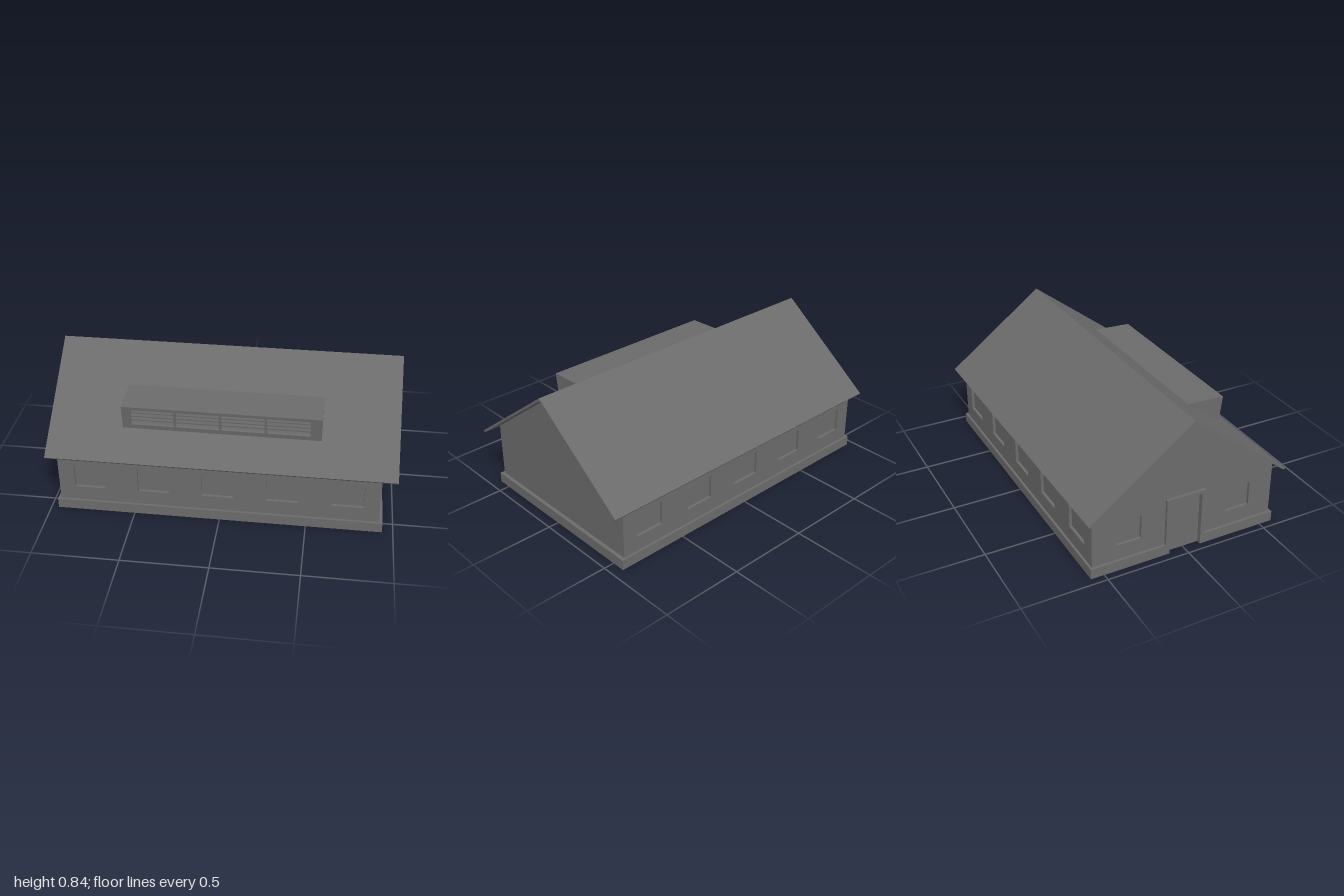
import * as THREE from 'three';

const wall = new THREE.MeshStandardMaterial({ color: 0x6b6b6b });
wall.name = 'grey';

const W = { x0: -0.94, x1: 0.915, z: 0.566, base: 0.05, eave: 0.391, peak: 0.82, t: 0.04 };
const ROOF = { y: 0.836, slope: Math.atan(0.756), length: 0.766, t: 0.0135 };
const WIN = { w: 0.18, y0: 0.153, y1: 0.3 };

function add(parent, name, geometry) {
  const mesh = new THREE.Mesh(geometry, wall);
  mesh.name = name;
  parent.add(mesh);
  return mesh;
}

// box given by its limits on each axis
function box(parent, name, x0, x1, y0, y1, z0, z1) {
  const m = add(parent, name, new THREE.BoxGeometry(x1 - x0, y1 - y0, z1 - z0));
  m.position.set((x0 + x1) / 2, (y0 + y1) / 2, (z0 + z1) / 2);
  return m;
}

// flat panel with rectangular holes [x0, x1, y0, y1], thickness along +z
function panel(points, holes, depth) {
  const shape = new THREE.Shape(points.map(p => new THREE.Vector2(...p)));
  for (const [a, b, c, d] of holes) {
    shape.holes.push(new THREE.Path([[a, c], [a, d], [b, d], [b, c]].map(p => new THREE.Vector2(...p))));
  }
  return new THREE.ExtrudeGeometry(shape, { depth, bevelEnabled: false });
}

const rect = (x0, x1, y0, y1) => [[x0, y0], [x1, y0], [x1, y1], [x0, y1]];

// panel drawn in (z, y), spanning x0..x1
function sidePanel(points, holes, x0, x1) {
  return panel(points, holes, x1 - x0).rotateY(-Math.PI / 2).translate(x1, 0, 0);
}

function buildWalls(group) {
  const centres = [-2, -1, 0, 1, 2].map(i => -0.012 + i * 0.3725);
  const xa = W.x0 + W.t, xb = W.x1 - W.t;
  // long walls, each with five recessed windows
  for (const s of [1, -1]) {
    const holes = centres.map(c => [c - WIN.w / 2, c + WIN.w / 2, WIN.y0, WIN.y1]);
    const m = add(group, s > 0 ? 'frontWall' : 'backWall', panel(rect(xa, xb, W.base, W.eave), holes, W.t));
    m.position.z = s > 0 ? W.z - W.t : -W.z;
    for (const c of centres) {
      const z = s * (W.z - W.t / 2);
      box(group, 'windowPane', c - WIN.w / 2, c + WIN.w / 2, WIN.y0, WIN.y1, z - 0.003, z + 0.003);
    }
  }
  // plain gable
  const top = [[W.z, W.eave], [0, W.peak], [-W.z, W.eave]];
  add(group, 'plainGable', sidePanel([[-W.z, W.base], [W.z, W.base], ...top], [], xb, W.x1));
  // entrance gable with door notch and two windows
  const ends = [-0.345, 0.345];
  const outline = [[-W.z, W.base], [-0.1, W.base], [-0.1, 0.34], [0.1, 0.34], [0.1, W.base], [W.z, W.base], ...top];
  add(group, 'entranceGable', sidePanel(outline, ends.map(c => [c - 0.075, c + 0.075, WIN.y0, WIN.y1]), W.x0, xa));
  for (const c of ends) {
    const x = W.x0 + W.t / 2;
    box(group, 'windowPane', x - 0.003, x + 0.003, WIN.y0, WIN.y1, c - 0.075, c + 0.075);
  }
}

function buildDoor(group) {
  box(group, 'door', -0.93, -0.915, 0, 0.34, -0.1, 0.1);
  for (const s of [-1, 1]) {
    const z = s * 0.11;
    box(group, 'doorJamb', -0.957, -0.9, 0, 0.355, z - 0.012, z + 0.012);
  }
  box(group, 'doorLintel', -0.957, -0.9, 0.335, 0.355, -0.1, 0.1);
}

// low plinth ring, open at the door
function buildPlinth(group) {
  const a = -0.957, b = 0.937, z = 0.58, t = 0.025, h = 0.062;
  box(group, 'frontPlinth', a, b, 0, h, z - t, z);
  box(group, 'backPlinth', a, b, 0, h, -z, t - z);
  box(group, 'sidePlinth', b - t, b, 0, h, t - z, z - t);
  box(group, 'entrancePlinth', a, a + t, 0, h, 0.122, z - t);
  box(group, 'entrancePlinth', a, a + t, 0, h, t - z, -0.122);
}

function buildRoof(group) {
  for (const front of [true, false]) {
    const side = new THREE.Group();
    side.name = front ? 'frontRoof' : 'backRoof';
    // the front slope is open beneath the dormer
    const holes = front ? [[-0.552, 0.544, -0.54, -0.3]] : [];
    const slab = add(side, 'roofSlab', panel(rect(-1, 1, -ROOF.length, 0), holes, ROOF.t).translate(0, 0, -ROOF.t));
    slab.position.y = ROOF.y;
    slab.rotation.x = ROOF.slope - Math.PI / 2;
    side.rotation.y = front ? 0 : Math.PI;
    group.add(side);
  }
}

function buildDormer(group) {
  const dormer = new THREE.Group();
  dormer.name = 'dormer';
  group.add(dormer);
  const x0 = -0.571, x1 = 0.564, t = 0.02;
  const back = [0.226, 0.664], tip = [0.462, 0.656], foot = [0.443, 0.506];
  for (const x of [x0, x1 - t]) add(dormer, 'dormerCheek', sidePanel([back, foot, tip], [], x, x + t));
  add(dormer, 'dormerRoof', sidePanel([back, [0.246, 0.648], [0.46, 0.641], tip], [], x0 + t, x1 - t));

  // leaning front with four louvred openings
  const front = new THREE.Group();
  front.name = 'dormerFront';
  front.position.set(0, foot[1], foot[0]);
  front.rotation.x = Math.atan2(tip[0] - foot[0], tip[1] - foot[1]);
  dormer.add(front);
  const holes = [0, 1, 2, 3].map(i => [-0.519 + i * 0.2583, -0.519 + i * 0.2583 + 0.254 - 0.01, 0.028, 0.132]);
  add(front, 'dormerFrame', panel(rect(x0 + t, x1 - t, 0, 0.15), holes, t).translate(0, 0, -t));
  box(front, 'louverBacking', -0.525, 0.512, 0.024, 0.136, -t - 0.004, -t + 0.001);
  for (const [a, b] of holes) {
    for (let i = 0; i < 4; i++) {
      const y = 0.041 + i * 0.026;
      const slat = box(front, 'louverSlat', a, b, y - 0.007, y + 0.007, -0.012, -0.007);
      slat.rotation.x = -0.5;
    }
  }
}

export function createModel() {
  const model = new THREE.Group();
  model.name = 'gabledHouse';
  buildWalls(model);
  buildDoor(model);
  buildPlinth(model);
  buildRoof(model);
  buildDormer(model);
  return model;
}
